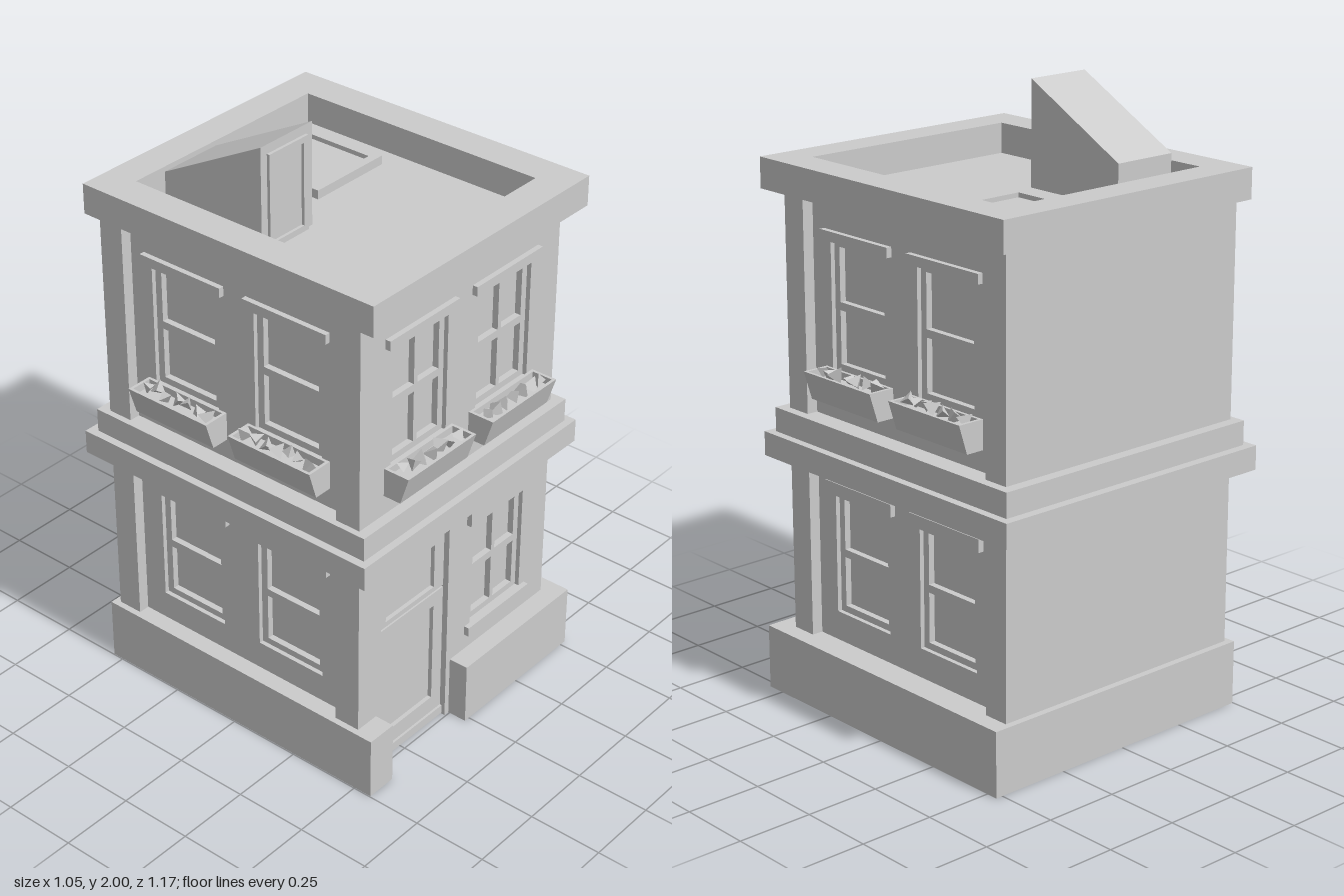
import * as THREE from 'three';

const WALL = 0.05; // wall thickness

export function createModel() {
  const building = new THREE.Group();
  building.name = 'townhouse';
  const mat = new THREE.MeshStandardMaterial({ color: 0xcccccc, flatShading: true });

  function add(parent, name, geo) {
    const mesh = new THREE.Mesh(geo, mat);
    mesh.name = name;
    parent.add(mesh);
    return mesh;
  }

  // Box given by its limits on each axis
  function block(parent, name, x0, x1, y0, y1, z0, z1) {
    const geo = new THREE.BoxGeometry(x1 - x0, y1 - y0, z1 - z0);
    geo.translate((x0 + x1) / 2, (y0 + y1) / 2, (z0 + z1) / 2);
    return add(parent, name, geo);
  }

  const rect = (x0, x1, y0, y1) => [[x0, y0], [x1, y0], [x1, y1], [x0, y1]];
  const toPoints = pts => pts.map(p => new THREE.Vector2(p[0], p[1]));

  function extrude(outline, holes, depth) {
    const shape = new THREE.Shape(toPoints(outline));
    holes.forEach(h => shape.holes.push(new THREE.Path(toPoints(h))));
    return new THREE.ExtrudeGeometry(shape, { depth, bevelEnabled: false });
  }

  // Upright plate with holes, between z0 and z1
  const plate = (parent, name, outline, holes, z0, z1) =>
    add(parent, name, extrude(outline, holes, z1 - z0).translate(0, 0, z0));

  // Level plate with holes, outline in x and -z
  const slab = (parent, name, outline, holes, y0, y1) =>
    add(parent, name, extrude(outline, holes, y1 - y0).rotateX(-Math.PI / 2).translate(0, y0, 0));

  // Profile in (z, y) run along x
  const run = (parent, name, profile, x0, x1) =>
    add(parent, name, extrude(profile, [], x1 - x0).rotateY(-Math.PI / 2).translate(x1, 0, 0));

  // Window set into a wall whose outer face is local z = 0
  function addWindow(wall, w) {
    const g = new THREE.Group();
    g.name = 'window';
    const x0 = w.x - 0.13, x1 = w.x + 0.13, mid = (w.y0 + w.y1) / 2;
    const columns = w.cols === 2
      ? [[x0 + 0.024, w.x - 0.008], [w.x + 0.008, x1 - 0.024]]
      : [[x0 + 0.024, x1 - 0.024]];
    const panes = columns.flatMap(([a, b]) => [
      rect(a, b, w.y0 + 0.022, mid - 0.013),
      rect(a, b, mid + 0.013, w.y1 - 0.02),
    ]);
    plate(g, 'windowFrame', rect(x0, x1, w.y0, w.y1), panes, -0.04, -0.015);
    block(g, 'windowGlass', x0, x1, w.y0, w.y1, -WALL, -0.036);
    block(g, 'lintel', w.x - 0.16, w.x + 0.16, w.y1, w.y1 + w.lintel, -0.02, 0.018);
    if (w.sill) block(g, 'sill', w.x - 0.157, w.x + 0.157, w.y0 - 0.032, w.y0, -0.02, 0.018);
    if (w.box) addFlowerBox(g, w.x);
    wall.add(g);
  }

  // Small repeatable number source
  let seed = 7;
  const rnd = () => (seed = (seed * 16807) % 2147483647) / 2147483647;

  // Planter with a sloping front, soil and faceted blooms
  function addFlowerBox(parent, x) {
    const g = new THREE.Group();
    g.name = 'flowerBox';
    const x0 = x - 0.16, x1 = x + 0.16, y0 = 1.028, y1 = 1.123;
    const side = [[0, y0], [0.062, y0], [0.092, y1], [0, y1]];
    run(g, 'planterEnd', side, x0, x0 + 0.01);
    run(g, 'planterEnd', side, x1 - 0.01, x1);
    run(g, 'planterFront', [[0.052, y0], [0.062, y0], [0.092, y1], [0.082, y1]], x0 + 0.01, x1 - 0.01);
    block(g, 'planterBack', x0 + 0.01, x1 - 0.01, y0, y1, 0, 0.01);
    run(g, 'soil', [[0.01, y0], [0.055, y0], [0.075, 1.098], [0.01, 1.098]], x0 + 0.01, x1 - 0.01);
    for (let i = 0; i < 7; i++) {
      const bloom = add(g, 'bloom', new THREE.TetrahedronGeometry(0.023 + 0.011 * rnd()));
      bloom.position.set(x - 0.125 + i * 0.0415, 1.115 + 0.016 * rnd(), 0.038 + 0.016 * rnd());
      bloom.rotation.set(rnd() * 6, rnd() * 6, rnd() * 6);
    }
    parent.add(g);
  }

  const openings = list => list.map(w => rect(w.x - 0.13, w.x + 0.13, w.y0, w.y1));
  const upper = (x, cols) => ({ x, cols, y0: 1.115, y1: 1.53, lintel: 0.032, box: true });

  // Front wall with the door opening cut from its lower edge
  const front = new THREE.Group();
  front.name = 'frontWall';
  front.position.z = 0.495;
  const frontWindows = [
    upper(-0.205, 2), upper(0.197, 2),
    { x: 0.208, cols: 2, y0: 0.305, y1: 0.7, lintel: 0.052, sill: true },
  ];
  plate(front, 'wall', [
    [-0.476, 0.2], [-0.39, 0.2], [-0.39, 0], [-0.37, 0], [-0.37, 0.731], [-0.04, 0.731],
    [-0.04, 0], [-0.02, 0], [-0.02, 0.2], [0.466, 0.2], [0.466, 1.66], [-0.476, 1.66],
  ], openings(frontWindows), -WALL, 0);
  frontWindows.forEach(w => addWindow(front, w));

  // Door with transom light and threshold
  plate(front, 'door', rect(-0.37, -0.04, 0.035, 0.505), [rect(-0.323, -0.087, 0.093, 0.456)], -0.04, -0.02);
  plate(front, 'transom', rect(-0.37, -0.04, 0.512, 0.731), [rect(-0.323, -0.087, 0.53, 0.689)], -0.04, -0.02);
  block(front, 'doorPanel', -0.37, -0.04, 0.005, 0.731, -WALL, -0.034);
  block(front, 'threshold', -0.37, -0.04, 0.005, 0.035, -0.04, -0.012);
  building.add(front);

  // Side walls, set back between corner pilasters
  for (const s of [1, -1]) {
    const wall = new THREE.Group();
    wall.name = s > 0 ? 'leftWall' : 'rightWall';
    wall.position.x = s > 0 ? 0.428 : -0.438;
    wall.rotation.y = s * Math.PI / 2;
    const windows = [0.19, -0.217].flatMap(z => [
      upper(-s * z, 1),
      { x: -s * z, cols: 1, y0: 0.312, y1: 0.712, lintel: 0.042 },
    ]);
    const ends = [-s * 0.43, s * 0.5].sort((a, b) => a - b);
    plate(wall, 'wall', rect(ends[0], ends[1], 0.2, 1.66), openings(windows), -WALL, 0);
    windows.forEach(w => addWindow(wall, w));
    building.add(wall);
    const [p0, p1] = s > 0 ? [0.38, 0.466] : [-0.476, -0.39];
    block(building, 'pilaster', p0, p1, 0.2, 1.66, 0.405, 0.446);
    block(building, 'pilaster', p0, p1, 0.2, 1.66, -0.518, -0.43);
  }
  block(building, 'backWall', -0.39, 0.38, 0.2, 1.66, -0.518, -0.468);

  // Hollow plinth, open below and notched for the door
  const b = { x0: -0.497, x1: 0.524, z0: -0.54, z1: 0.563, h: 0.215, t: 0.012 };
  slab(building, 'plinthTop', [
    [b.x0, -b.z1], [-0.39, -b.z1], [-0.39, -0.45], [-0.02, -0.45], [-0.02, -b.z1],
    [b.x1, -b.z1], [b.x1, -b.z0], [b.x0, -b.z0],
  ], [], b.h - b.t, b.h);
  const skirt = (x0, x1, z0, z1) => block(building, 'plinthSide', x0, x1, 0, b.h - b.t, z0, z1);
  skirt(b.x0, b.x0 + b.t, b.z0, b.z1);
  skirt(b.x1 - b.t, b.x1, b.z0, b.z1);
  skirt(b.x0 + b.t, b.x1 - b.t, b.z0, b.z0 + b.t);
  skirt(b.x0 + b.t, -0.39, b.z1 - b.t, b.z1);
  skirt(-0.02, b.x1 - b.t, b.z1 - b.t, b.z1);
  skirt(-0.39 - b.t, -0.39, 0.45, b.z1 - b.t);
  skirt(-0.02, -0.02 + b.t, 0.45, b.z1 - b.t);

  // Stepped band between the floors
  block(building, 'lowerBand', -0.524, 0.524, 0.8, 0.88, -0.585, 0.555);
  block(building, 'upperBand', -0.497, 0.497, 0.88, 0.96, -0.555, 0.53);

  // Cornice and sunken roof
  slab(building, 'cornice', rect(-0.507, 0.503, -0.566, 0.55), [rect(-0.394, 0.387, -0.453, 0.44)], 1.66, 1.76);
  block(building, 'roof', -0.42, 0.41, 1.62, 1.66, -0.47, 0.47);

  // Roof hatch
  slab(building, 'hatchFrame', rect(0.01, 0.313, 0.075, 0.37), [rect(0.04, 0.283, 0.104, 0.34)], 1.66, 1.69);
  block(building, 'hatchLid', 0.04, 0.283, 1.66, 1.675, -0.34, -0.104);

  // Sloping stair head with its door
  run(building, 'stairHead', [[-0.367, 1.65], [0.014, 1.65], [0.014, 2], [-0.367, 1.797]], -0.345, -0.121);
  plate(building, 'stairDoorFrame', rect(-0.318, -0.148, 1.66, 1.97), [rect(-0.298, -0.168, 1.68, 1.95)], 0.012, 0.024);

  return building;
}
